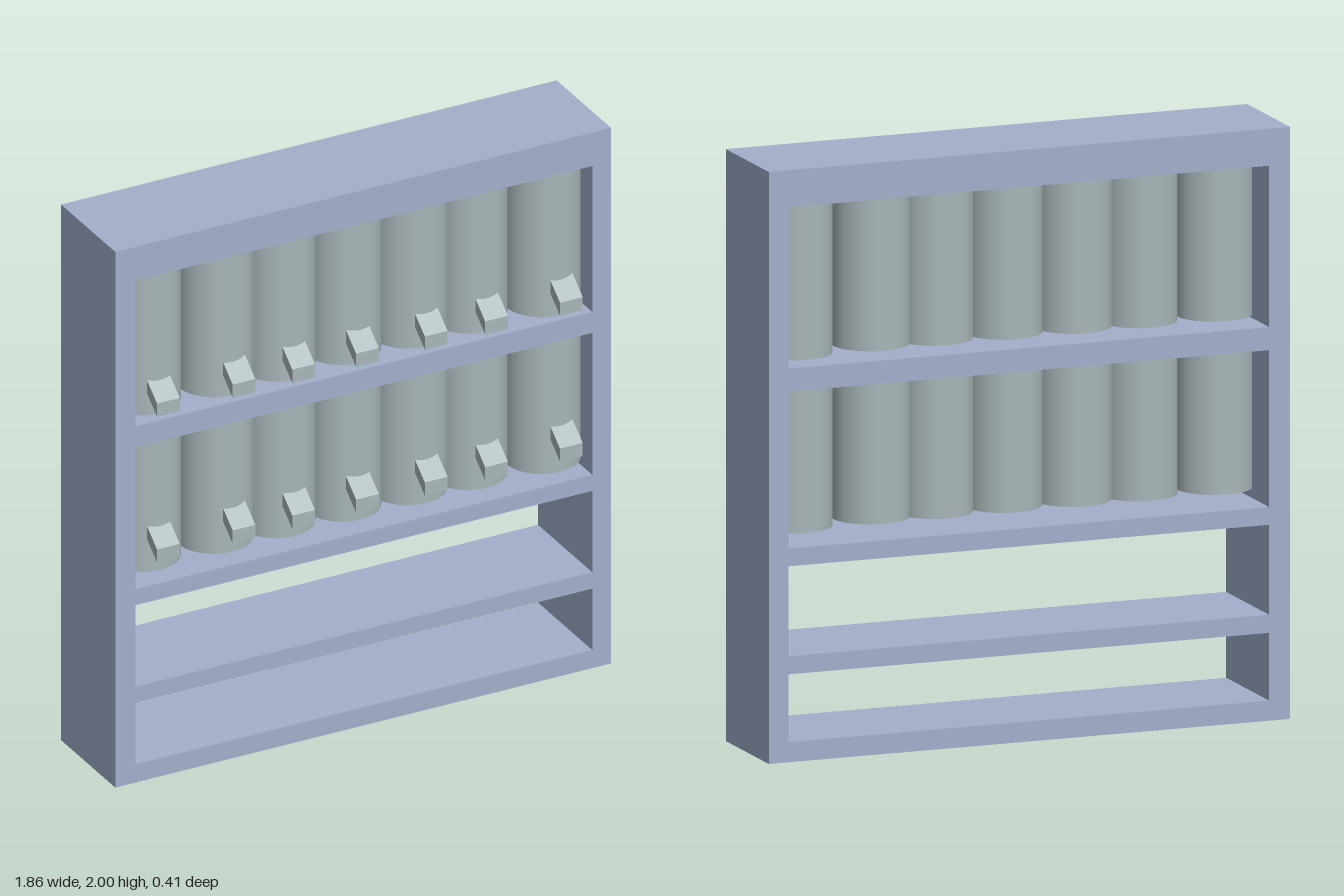
import * as THREE from 'three';

const frameMat = new THREE.MeshStandardMaterial({ color: 0xa3b0cc });
const tubeMat = new THREE.MeshStandardMaterial({ color: 0xa9b6b9 });

// Cabinet depth range
const BACK = -0.205, FRONT = 0.175;

// Full-depth board given by its x and y limits
function board(name, x0, x1, y0, y1) {
  const geo = new THREE.BoxGeometry(x1 - x0, y1 - y0, FRONT - BACK);
  const mesh = new THREE.Mesh(geo, frameMat);
  mesh.position.set((x0 + x1) / 2, (y0 + y1) / 2, (FRONT + BACK) / 2);
  mesh.name = name;
  return mesh;
}

// Slanted chute: a parallelogram in z-y, extruded across x, with its lower front edge at y = 0
function chuteGeometry() {
  const width = 0.085;
  const shape = new THREE.Shape([
    new THREE.Vector2(0.21, 0),
    new THREE.Vector2(0.21, 0.049),
    new THREE.Vector2(0.1, 0.134),
    new THREE.Vector2(0.1, 0.085),
  ]);
  const geo = new THREE.ExtrudeGeometry(shape, { depth: width, bevelEnabled: false });
  geo.translate(0, 0, -width / 2);
  geo.rotateY(-Math.PI / 2);
  return geo;
}

export function createModel() {
  const model = new THREE.Group();
  model.name = 'dispenserCabinet';

  // Frame and shelves
  const frame = new THREE.Group();
  frame.name = 'frame';
  frame.add(
    board('topRail', -0.93, 0.925, 1.875, 2),
    board('rightSide', -0.93, -0.855, 0, 1.875),
    board('leftSide', 0.855, 0.925, 0, 1.875),
    board('upperShelf', -0.855, 0.855, 1.252, 1.33),
    board('middleShelf', -0.855, 0.855, 0.662, 0.722),
    board('lowerShelf', -0.855, 0.855, 0.297, 0.358),
    board('bottomShelf', -0.855, 0.855, 0, 0.068),
  );
  model.add(frame);

  // Two rows of canisters, each with a chute at the front
  const canisterX = [-0.747, -0.478, -0.245, 0.002, 0.248, 0.474, 0.749];
  const chuteX = [-0.75, -0.467, -0.244, -0.005, 0.252, 0.478, 0.758];
  const rows = [
    { name: 'upperRow', bottom: 1.34, height: 0.532, chuteY: 1.367 },
    { name: 'lowerRow', bottom: 0.755, height: 0.532, chuteY: 0.822 },
  ];
  const chuteGeo = chuteGeometry();
  for (const row of rows) {
    const group = new THREE.Group();
    group.name = row.name;
    const canisterGeo = new THREE.CylinderGeometry(0.13, 0.13, row.height, 64);
    canisterX.forEach((x, i) => {
      const canister = new THREE.Mesh(canisterGeo, tubeMat);
      canister.name = 'canister';
      // The last canister sits slightly lower
      const drop = i === canisterX.length - 1 ? 0.008 : 0;
      canister.position.set(x, row.bottom + row.height / 2 - drop, 0.018);
      const chute = new THREE.Mesh(chuteGeo, tubeMat);
      chute.name = 'chute';
      chute.position.set(chuteX[i], row.chuteY, 0);
      group.add(canister, chute);
    });
    model.add(group);
  }
  return model;
}
